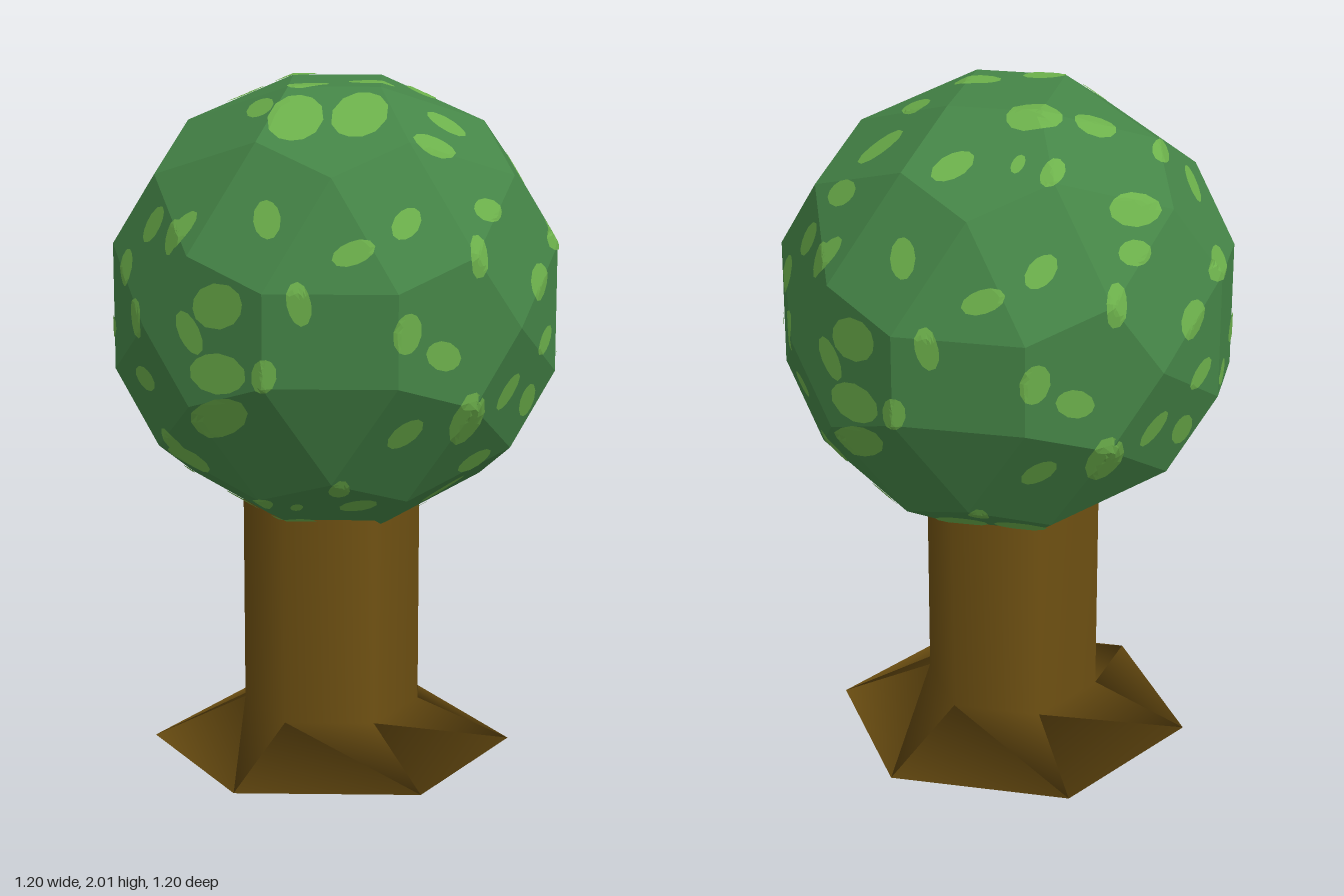
import * as THREE from 'three';
import { ConvexGeometry } from 'three/addons/geometries/ConvexGeometry.js';

const mat = (name, color, extra = {}) => Object.assign(new THREE.MeshStandardMaterial({ color, ...extra }), { name });
const CENTRE = 1.405, RADIUS = 0.632;

// Crown: twelve small pentagons, joined by rectangles and triangles
function crownGeometry() {
  const axes = ['x', 'z', 'y'], points = [];
  const tilt = THREE.MathUtils.degToRad(19.1);
  const h = RADIUS * Math.cos(tilt), r = RADIUS * Math.sin(tilt);
  for (let i = 0; i < 3; i++) {
    const [a, b, c] = [0, 1, 2].map(k => axes[(i + k) % 3]);
    for (const sa of [-1, 1]) for (const sb of [-1, 1]) for (let k = 0; k < 5; k++) {
      const t = k * Math.PI * 2 / 5, p = new THREE.Vector3();
      p[a] = sa * (0.526 * h + 0.851 * r * Math.cos(t));
      p[b] = sb * (0.851 * h - 0.526 * r * Math.cos(t));
      p[c] = r * Math.sin(t);
      points.push(p);
    }
  }
  return new ConvexGeometry(points);
}

// Planes of the crown, used to lay the leaf patches on its faces
function facePlanes(geometry) {
  const pos = geometry.attributes.position, planes = [];
  const v = i => new THREE.Vector3().fromBufferAttribute(pos, i);
  for (let i = 0; i < pos.count; i += 3) planes.push(new THREE.Plane().setFromCoplanarPoints(v(i), v(i + 1), v(i + 2)));
  return planes;
}

// Leaf patches per side: across, up, half length, angle in degrees
const FRONT = [
  [-0.17, 0.31, 0.06, 100], [0.2, 0.3, 0.055, 60], [0.06, 0.23, 0.055, 20], [-0.08, 0.1, 0.055, 95],
  [-0.3, 0.08, 0.09, 5], [-0.38, 0, 0.06, 120], [-0.3, -0.1, 0.09, 0], [0.2, 0.02, 0.06, 80],
  [0.3, -0.05, 0.06, 150], [0.38, 0.2, 0.055, 70], [-0.28, 0.42, 0.08, 25], [-0.3, -0.23, 0.1, 40],
  [-0.17, -0.09, 0.05, 80], [0.2, -0.27, 0.06, 60], [0.36, -0.24, 0.09, 110], [0.31, 0.42, 0.06, 155],
  [-0.4, 0.26, 0.06, 45], [0.02, -0.43, 0.05, 90],
];
const RIGHT = [
  [-0.33, 0.44, 0.05, 140], [0.06, 0.37, 0.06, 60], [-0.36, 0.31, 0.055, 150], [-0.1, 0.2, 0.07, 15],
  [-0.27, 0.1, 0.065, 30], [0.3, 0.26, 0.06, 50], [0.4, 0.24, 0.05, 110], [0.24, 0.13, 0.055, 100],
  [0.1, -0.06, 0.06, 0], [-0.23, -0.07, 0.055, 20], [0.35, 0.01, 0.06, 130], [-0.36, -0.19, 0.06, 60],
  [-0.23, -0.24, 0.06, 130], [-0.09, -0.26, 0.1, 75], [0.08, -0.29, 0.1, 95], [0.31, -0.17, 0.06, 10],
  [-0.08, -0.12, 0.05, 0], [0.28, -0.36, 0.06, 110],
];
const TOP = [
  [-0.18, 0.48, 0.055, 60], [-0.36, 0.44, 0.06, 140], [0.07, 0.36, 0.065, 60], [-0.19, 0.34, 0.05, 90],
  [-0.1, 0.34, 0.03, 90], [-0.11, 0.18, 0.085, 30], [-0.4, 0.28, 0.08, 25], [-0.26, 0.1, 0.07, 30],
  [0.31, 0.21, 0.07, 20], [0.24, 0.07, 0.065, 100], [0.1, -0.07, 0.065, 0], [0.39, 0.3, 0.06, 150],
  [0.31, -0.17, 0.065, 10], [-0.07, -0.15, 0.055, 20], [-0.2, -0.21, 0.06, 100], [-0.1, -0.3, 0.11, 80],
  [0.07, -0.29, 0.11, 80], [0.27, -0.32, 0.07, 35], [0.21, 0.47, 0.06, 130], [-0.42, 0.03, 0.05, 110],
];
const SIDES = [
  [[1, 0, 0], [0, 1, 0], FRONT], [[-1, 0, 0], [0, 1, 0], FRONT],
  [[0, 0, -1], [0, 1, 0], RIGHT], [[0, 0, 1], [0, 1, 0], RIGHT],
  [[1, 0, 0], [0, 0, -1], TOP], [[1, 0, 0], [0, 0, 1], TOP],
];

function patchGeometry(planes) {
  const out = [], SEG = 12, RINGS = 4;
  // Push a point radially onto the crown, just above its face
  const drape = p => {
    const d = p.clone().normalize();
    let t = Infinity;
    for (const { normal, constant } of planes) {
      const f = normal.dot(d);
      if (f > 0.1) t = Math.min(t, -constant / f);
    }
    return d.multiplyScalar(t + 0.004);
  };
  const tri = (...ps) => ps.forEach(p => out.push(p.x, p.y, p.z));
  for (const [ua, va, list] of SIDES) {
    const u = new THREE.Vector3(...ua), v = new THREE.Vector3(...va), n = u.clone().cross(v);
    for (const [x, y, len, deg] of list) {
      const w = Math.sqrt(Math.max(0, RADIUS ** 2 - x * x - y * y));
      if (w < 0.92 * Math.max(Math.abs(x), Math.abs(y))) continue;
      const c = u.clone().multiplyScalar(x).addScaledVector(v, y).addScaledVector(n, w);
      const dir = c.clone().normalize(), a = THREE.MathUtils.degToRad(deg);
      const t1 = u.clone().multiplyScalar(Math.cos(a)).addScaledVector(v, Math.sin(a));
      t1.addScaledVector(dir, -t1.dot(dir)).normalize();
      const t2 = dir.clone().cross(t1);
      const at = (ring, k) => {
        const s = ring / RINGS, q = k * Math.PI * 2 / SEG;
        const wobble = 1 + 0.1 * Math.sin(2 * q + deg);
        return drape(c.clone().addScaledVector(t1, s * len * wobble * Math.cos(q))
          .addScaledVector(t2, s * len * 0.62 * wobble * Math.sin(q)));
      };
      for (let k = 0; k < SEG; k++) for (let ring = 0; ring < RINGS; ring++) {
        const p = at(ring, k), q = at(ring + 1, k), r = at(ring + 1, k + 1), s = at(ring, k + 1);
        tri(p, q, r);
        if (ring > 0) tri(p, r, s);
      }
    }
  }
  const g = new THREE.BufferGeometry();
  g.setAttribute('position', new THREE.Float32BufferAttribute(out, 3));
  g.computeVertexNormals();
  return g;
}

export function createModel() {
  const model = new THREE.Group();
  model.name = 'tree';
  const add = (name, geometry, material, x, y) => {
    const mesh = new THREE.Mesh(geometry, material);
    mesh.name = name;
    mesh.position.set(x, y, 0);
    model.add(mesh);
  };

  // Six-sided trunk with a flared root and a pointed underside
  const profile = [[0, 0], [0.505, 0.13], [0.246, 0.25], [0.246, 1.0], [0, 1.0]].map(p => new THREE.Vector2(...p));
  add('trunk', new THREE.LatheGeometry(profile, 6, Math.PI / 2), mat('bark brown', 0x664a10), -0.013, 0);

  // Faceted crown with lighter leaf patches
  const crown = crownGeometry();
  add('crown', crown, mat('leaf green', 0x458547, { flatShading: true }), 0, CENTRE);
  add('leafPatches', patchGeometry(facePlanes(crown)), mat('light leaf green', 0x6cb04b), 0, CENTRE);
  return model;
}
